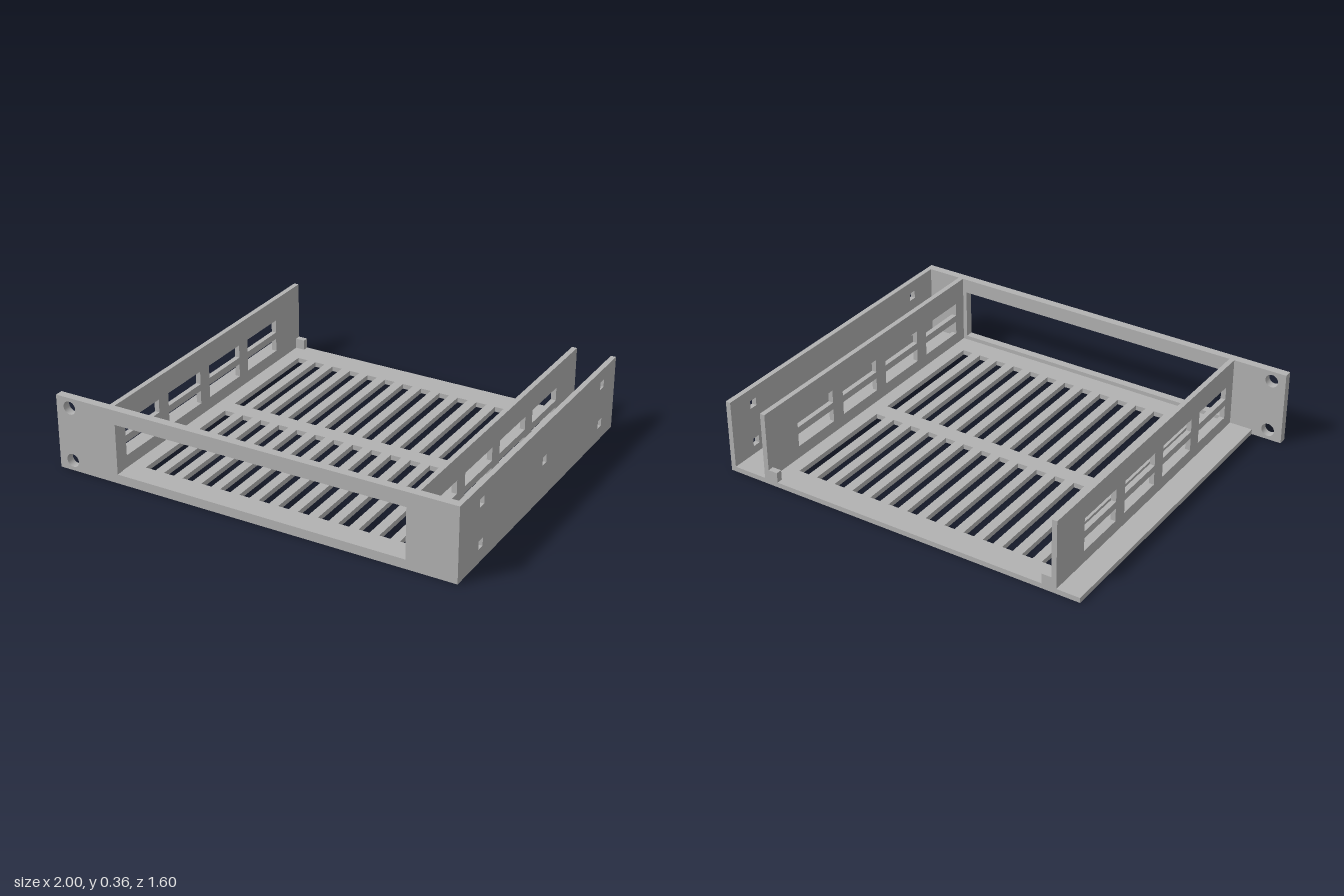
import * as THREE from 'three';

const H = 0.363;      // overall height
const T = 0.025;      // sheet thickness
const BACK = -0.8, PANEL_BACK = 0.76, FRONT = 0.8;

// rectangular outline from two corners
function outline(Type, x0, y0, x1, y1) {
  return new Type([[x0, y0], [x1, y0], [x1, y1], [x0, y1]].map(([x, y]) => new THREE.Vector2(x, y)));
}

// plate with rectangular [x0, y0, x1, y1] and round [x, y, r] holes
function plate(rect, holes, depth) {
  const shape = outline(THREE.Shape, ...rect);
  for (const h of holes) {
    shape.holes.push(h.length === 3
      ? new THREE.Path().absarc(h[0], h[1], h[2], 0, Math.PI * 2, true)
      : outline(THREE.Path, ...h));
  }
  return new THREE.ExtrudeGeometry(shape, { depth, bevelEnabled: false, curveSegments: 32 });
}

// upright wall along z, spanning x0 to x0 + T
function wall(x0, y0, holes) {
  return plate([BACK, y0, PANEL_BACK, H], holes, T).rotateY(-Math.PI / 2).translate(x0 + T, 0, 0);
}

export function createModel() {
  const model = new THREE.Group();
  const grey = new THREE.MeshStandardMaterial({ color: 0xb2b2b2 });
  grey.name = 'grey metal';
  const add = (name, geometry) => {
    const mesh = new THREE.Mesh(geometry, grey);
    mesh.name = name;
    model.add(mesh);
  };

  // front panel with display window and mounting holes in one ear
  add('frontPanel', plate([-1, 0, 1, H], [
    [-0.685, 0.045, 0.76, 0.292],
    [-0.93, 0.05, 0.032],
    [-0.93, 0.313, 0.032],
  ], FRONT - PANEL_BACK).translate(0, 0, PANEL_BACK));

  // floor with two rows of ventilation slots
  const slots = [];
  for (let i = 0; i < 14; i++) {
    const x = -0.637 + i * 0.0996;
    slots.push([x, 0.08, x + 0.053, 0.67], [x, -0.655, x + 0.053, -0.003]);
  }
  add('floor', plate([-0.85, -PANEL_BACK, 1, -BACK], slots, T).rotateX(-Math.PI / 2));

  // inner walls with two rows of four windows
  const windows = [];
  for (let i = 0; i < 4; i++) {
    const z = -0.58 + i * 0.337;
    for (const y of [0.085, 0.185]) windows.push([z, y, z + 0.262, y + 0.065]);
  }
  add('rightInnerWall', wall(-0.735, T, windows));
  add('leftInnerWall', wall(0.78, T, windows));

  // outer wall with five small square holes
  const squares = [[0.595, 0.085], [0.595, 0.285], [-0.027, 0.185], [-0.648, 0.085], [-0.648, 0.285]]
    .map(([z, y]) => [z - 0.02, y - 0.02, z + 0.02, y + 0.02]);
  add('outerWall', wall(0.975, T, squares));

  // small stops at the back corners
  for (const [name, x] of [['rightStop', -0.6865], ['leftStop', 0.7565]]) {
    add(name, new THREE.BoxGeometry(0.047, 0.05, 0.03).translate(x, T + 0.025, BACK + 0.015));
  }
  return model;
}
